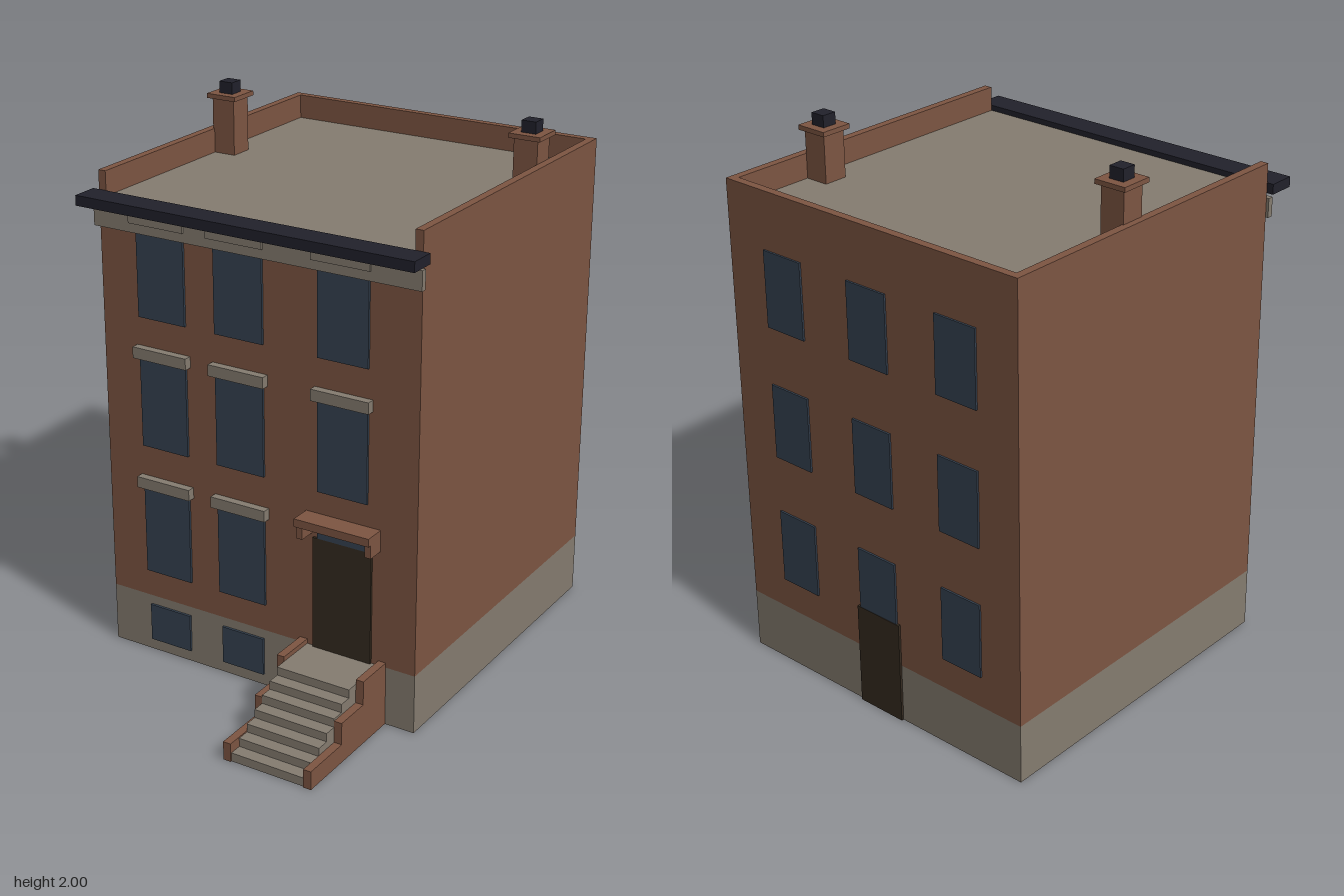
import * as THREE from 'three';

const mat = (name, color) => {
  const m = new THREE.MeshStandardMaterial({ color });
  m.name = name;
  return m;
};

export function createModel() {
  const brick = mat('brick', 0x7d5542);
  const stone = mat('stone', 0x857c70);
  const iron = mat('dark cornice', 0x21212b);
  const glass = mat('window glass', 0x364352);
  const wood = mat('door wood', 0x352b20);

  const house = new THREE.Group();
  house.name = 'townhouse';

  const add = (name, geometry, material, parent = house) => {
    const mesh = new THREE.Mesh(geometry, material);
    mesh.name = name;
    parent.add(mesh);
    return mesh;
  };
  // Box given by its limits on each axis
  const box = (name, material, [x0, x1], [y0, y1], [z0, z1], parent) => {
    const g = new THREE.BoxGeometry(x1 - x0, y1 - y0, z1 - z0);
    g.translate((x0 + x1) / 2, (y0 + y1) / 2, (z0 + z1) / 2);
    return add(name, g, material, parent);
  };
  const shapeOf = (pts) => new THREE.Shape(pts.map(([a, b]) => new THREE.Vector2(a, b)));
  // Plan outline of [x, z] points raised from y0 to y1
  const raise = (shape, y0, y1) => {
    const g = new THREE.ExtrudeGeometry(shape, { depth: y1 - y0, bevelEnabled: false });
    return g.rotateX(-Math.PI / 2).translate(0, y0, 0);
  };
  // Side profile of [z, y] points spanning x0 to x1
  const sideProfile = (pts, x0, x1) => {
    const g = new THREE.ExtrudeGeometry(shapeOf(pts), { depth: x1 - x0, bevelEnabled: false });
    return g.rotateY(-Math.PI / 2).translate(x1, 0, 0);
  };

  const W = 0.64, T = 0.03, F = 0.4, B = -0.876;
  const baseTop = 0.225, roofY = 1.735, parapetY = 1.825;

  // Hollow stone base, open underneath
  const ring = shapeOf([[-W, -F], [W, -F], [W, -B], [-W, -B]]);
  ring.holes.push(shapeOf([
    [-W + T, -F + T], [-W + T, -B - T], [W - T, -B - T], [W - T, -F + T],
  ]));
  add('stoneBase', raise(ring, 0, baseTop), stone);

  // Brick side and back walls rise into the parapet; the front stops at the roof
  const u = shapeOf([
    [-W, -F], [-W + T, -F], [-W + T, -B - T], [W - T, -B - T],
    [W - T, -F], [W, -F], [W, -B], [-W, -B],
  ]);
  add('sideAndBackWalls', raise(u, baseTop, parapetY), brick);
  box('frontWall', brick, [-W + T, W - T], [baseTop, roofY - 0.02], [F - T, F]);
  box('roof', stone, [-W + T, W - T], [roofY - 0.02, roofY], [B + T, F]);

  // Front cornice and frieze
  box('cornice', iron, [-0.665, 0.665], [1.718, 1.755], [F, 0.5]);
  box('frieze', stone, [-0.65, 0.65], [1.63, 1.7], [F, 0.422]);

  // Front windows and lintels
  const columns = [-0.385, -0.065, 0.35];
  const floors = [[0.33, 0.67], [0.83, 1.17], [1.32, 1.665]];
  floors.forEach(([y0, y1], f) => columns.forEach((x, c) => {
    if (f === 0 && c === 2) return;
    box('frontWindow', glass, [x - 0.098, x + 0.098], [y0, y1], [F, F + 0.009]);
    box('lintel', stone, [x - 0.113, x + 0.113], [y1, y1 + 0.042], [F, 0.43]);
  }));
  for (const x of columns.slice(0, 2)) {
    box('basementWindow', glass, [x - 0.088, x + 0.088], [0.045, 0.19], [F, F + 0.009]);
  }

  // Front door with transom and bracketed hood
  const dx = 0.35;
  box('frontDoor', wood, [dx - 0.117, dx + 0.117], [baseTop, 0.653], [F, F + 0.009]);
  box('transom', glass, [dx - 0.098, dx + 0.098], [0.653, 0.705], [F, F + 0.009]);
  box('doorHood', brick, [dx - 0.148, dx + 0.148], [0.715, 0.745], [F, 0.48]);
  for (const s of [-1, 1]) {
    const x = dx + s * 0.136;
    box('hoodBracket', brick, [x - 0.012, x + 0.012], [0.665, 0.715], [F, 0.465]);
  }

  // Stoop: seven steps between stepped cheek walls
  const stoop = new THREE.Group();
  stoop.name = 'stoop';
  house.add(stoop);
  const steps = [[F, 0], [0.88, 0]];
  for (let i = 6; i >= 0; i--) {
    const z = 0.595 + 0.0475 * i, y = baseTop - 0.032 * i;
    steps.push([z, y]);
    if (i > 0) steps.push([z - 0.0475, y]);
  }
  steps.push([F, baseTop]);
  add('steps', sideProfile(steps, dx - 0.145, dx + 0.145), stone, stoop);
  const cheek = [
    [F, 0], [0.885, 0], [0.885, 0.07], [0.69, 0.07],
    [0.69, 0.153], [0.55, 0.153], [0.55, 0.243], [F, 0.243],
  ];
  for (const x of [dx - 0.175, dx + 0.145]) {
    add('cheekWall', sideProfile(cheek, x, x + 0.03), brick, stoop);
  }

  // Back windows and door
  for (const y of [0.345, 0.84, 1.335]) for (const x of [-0.385, 0, 0.385]) {
    box('backWindow', glass, [x - 0.086, x + 0.086], [y, y + 0.28], [B - 0.007, B]);
  }
  box('backDoor', wood, [-0.098, 0.098], [0, 0.39], [B - 0.009, B]);

  // Chimneys with caps and pots
  const chimney = (x, z, top) => {
    const g = new THREE.Group();
    g.name = 'chimney';
    house.add(g);
    const block = (name, m, r, y0, y1) =>
      box(name, m, [x - r, x + r], [y0, y1], [z - r, z + r], g);
    block('chimneyShaft', brick, 0.046, roofY, top - 0.06);
    block('chimneyCap', brick, 0.061, top - 0.06, top - 0.043);
    block('chimneyPot', iron, 0.028, top - 0.043, top);
  };
  chimney(-0.57, -0.303, 2);
  chimney(0.565, -0.495, 1.97);

  return house;
}
